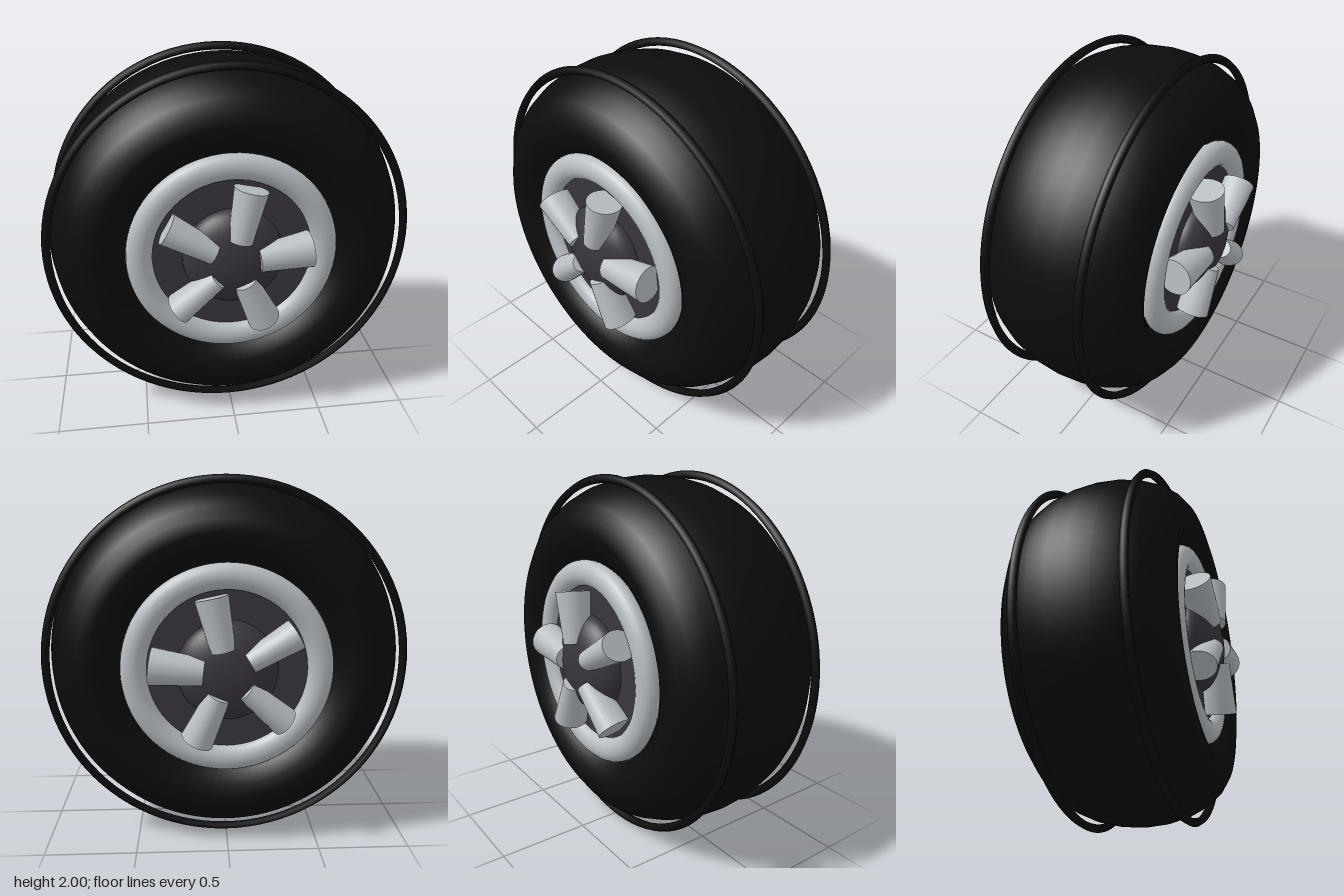
import * as THREE from 'three';

const rubber = new THREE.MeshStandardMaterial({ name: 'black rubber', color: 0x0c0c0c });
const darkMetal = new THREE.MeshStandardMaterial({ name: 'dark metal', color: 0x39363d });
const silver = new THREE.MeshStandardMaterial({ name: 'silver', color: 0xb8bec3 });

function add(parent, name, geometry, material, z = 0) {
  const mesh = new THREE.Mesh(geometry, material);
  mesh.name = name;
  mesh.position.z = z;
  parent.add(mesh);
  return mesh;
}

export function createModel() {
  const wheel = new THREE.Group();
  wheel.name = 'wheel';
  wheel.position.y = 1;

  // Wide tyre: a torus stretched along the axle
  const tyre = new THREE.TorusGeometry(0.72, 0.267, 24, 96);
  tyre.scale(1, 1, 0.453 / 0.267);
  add(wheel, 'tyre', tyre, rubber, 0.013);

  // Two thin hoops standing off the tread
  for (const z of [0.29, -0.26]) {
    add(wheel, 'treadHoop', new THREE.TorusGeometry(0.977, 0.023, 6, 96), rubber, z);
  }

  // Dark drum closing both faces of the wheel
  const drum = new THREE.CylinderGeometry(0.45, 0.45, 0.78, 64);
  drum.rotateX(Math.PI / 2);
  add(wheel, 'drum', drum, darkMetal);

  // Matching rim, hub and spokes on both sides
  for (const side of [1, -1]) {
    const face = new THREE.Group();
    face.name = side > 0 ? 'frontFace' : 'backFace';
    wheel.add(face);

    const rim = new THREE.TorusGeometry(0.495, 0.07, 20, 72);
    rim.scale(1, 1, 0.85);
    add(face, 'rim', rim, silver, side * 0.383);

    const hub = new THREE.SphereGeometry(0.27, 40, 24);
    hub.scale(1, 1, 0.5);
    add(face, 'hub', hub, darkMetal, side * 0.395);

    // Five rounded spokes, narrower toward the hub
    [0.1, 0.09, 0.083, 0.08, 0.09].forEach((halfWidth, i) => {
      const spoke = new THREE.CylinderGeometry(0.1, 0.072, 0.28, 24);
      spoke.scale(halfWidth / 0.1, 1, 1);
      const pivot = new THREE.Group();
      pivot.name = 'spokeMount';
      pivot.rotation.z = THREE.MathUtils.degToRad(6 + 72 * i - 90);
      face.add(pivot);
      const mesh = add(pivot, 'spoke', spoke, silver, side * 0.466);
      mesh.position.y = 0.264;
      mesh.rotation.x = -side * 0.09;
    });
  }

  const model = new THREE.Group();
  model.name = 'wheelModel';
  model.add(wheel);
  return model;
}
